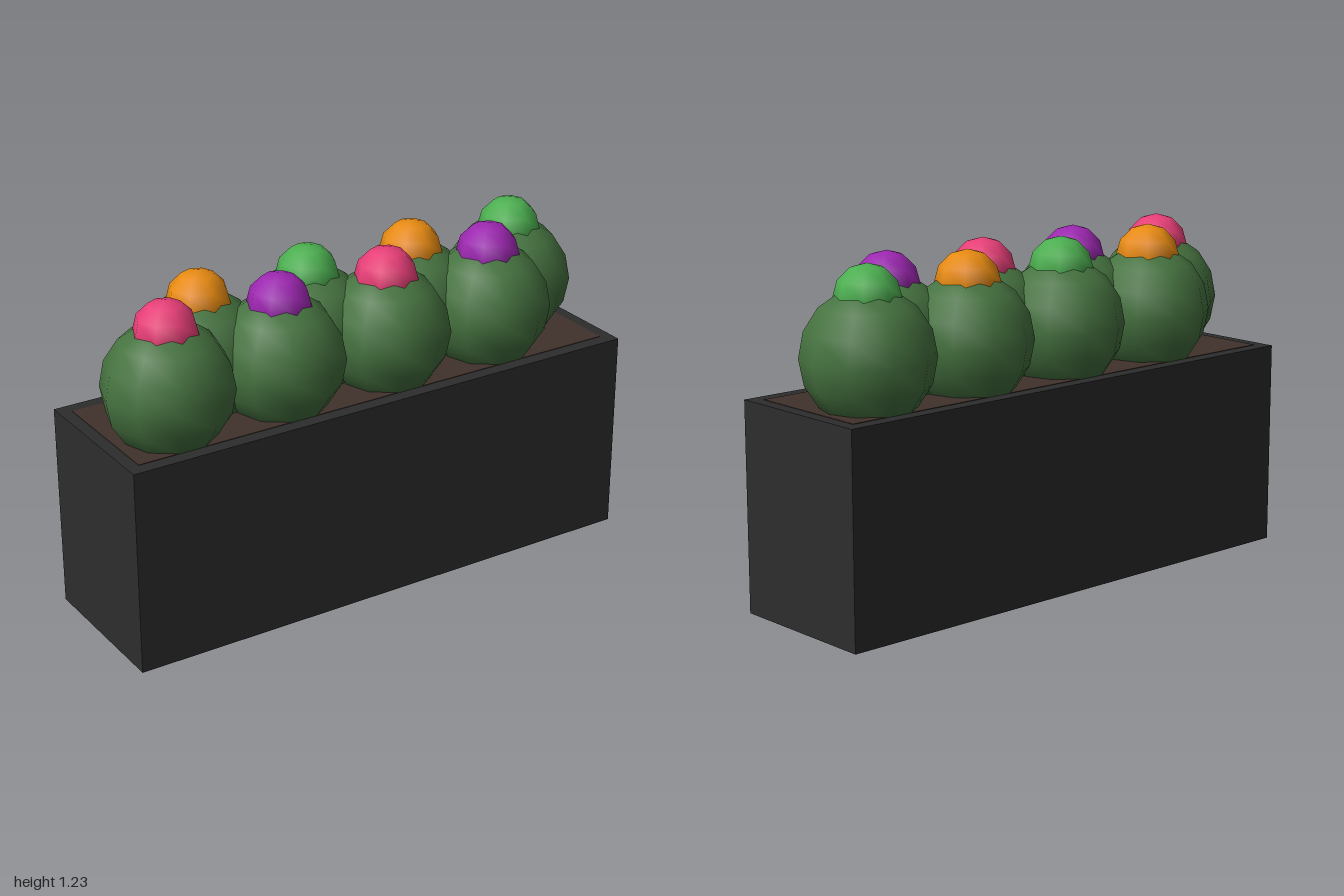
import * as THREE from 'three';

function material(name, color) {
  const m = new THREE.MeshStandardMaterial({ color });
  m.name = name;
  return m;
}

function addMesh(parent, name, geometry, mat, x, y, z) {
  const mesh = new THREE.Mesh(geometry, mat);
  mesh.name = name;
  mesh.position.set(x, y, z);
  parent.add(mesh);
  return mesh;
}

export function createModel() {
  const model = new THREE.Group();
  model.name = 'flowerPlanter';

  const charcoal = material('charcoal', 0x2d2d2e);
  const soilBrown = material('soil brown', 0x40312a);
  const leafGreen = material('leaf green', 0x467340);
  const petals = [
    material('pink', 0xec407a),
    material('orange', 0xf09012),
    material('purple', 0x9c27b0),
    material('bright green', 0x4caf50),
  ];

  // Planter box with a thin bed of soil inside the rim
  addMesh(model, 'planterBox', new THREE.BoxGeometry(2, 0.75, 0.58), charcoal, 0, 0.375, 0);
  addMesh(model, 'soil', new THREE.BoxGeometry(1.91, 0.008, 0.48), soilBrown, 0, 0.748, 0);

  // Slightly tall low-poly bushes, each topped by a bloom
  const bushGeometry = new THREE.SphereGeometry(0.23, 10, 8).scale(1, 1.045, 1);
  const bloomGeometry = new THREE.SphereGeometry(0.115, 8, 6);

  // Eight plants zigzag between the front and back rows
  for (let i = 0; i < 8; i++) {
    const plant = new THREE.Group();
    plant.name = 'plant' + (i + 1);
    plant.position.set(-0.755 + i * 0.217, 0, i % 2 === 0 ? 0.084 : -0.084);
    addMesh(plant, 'bush', bushGeometry, leafGreen, 0, 0.918, 0);
    addMesh(plant, 'bloom', bloomGeometry, petals[i % 4], 0, 1.118, 0);
    model.add(plant);
  }

  return model;
}
